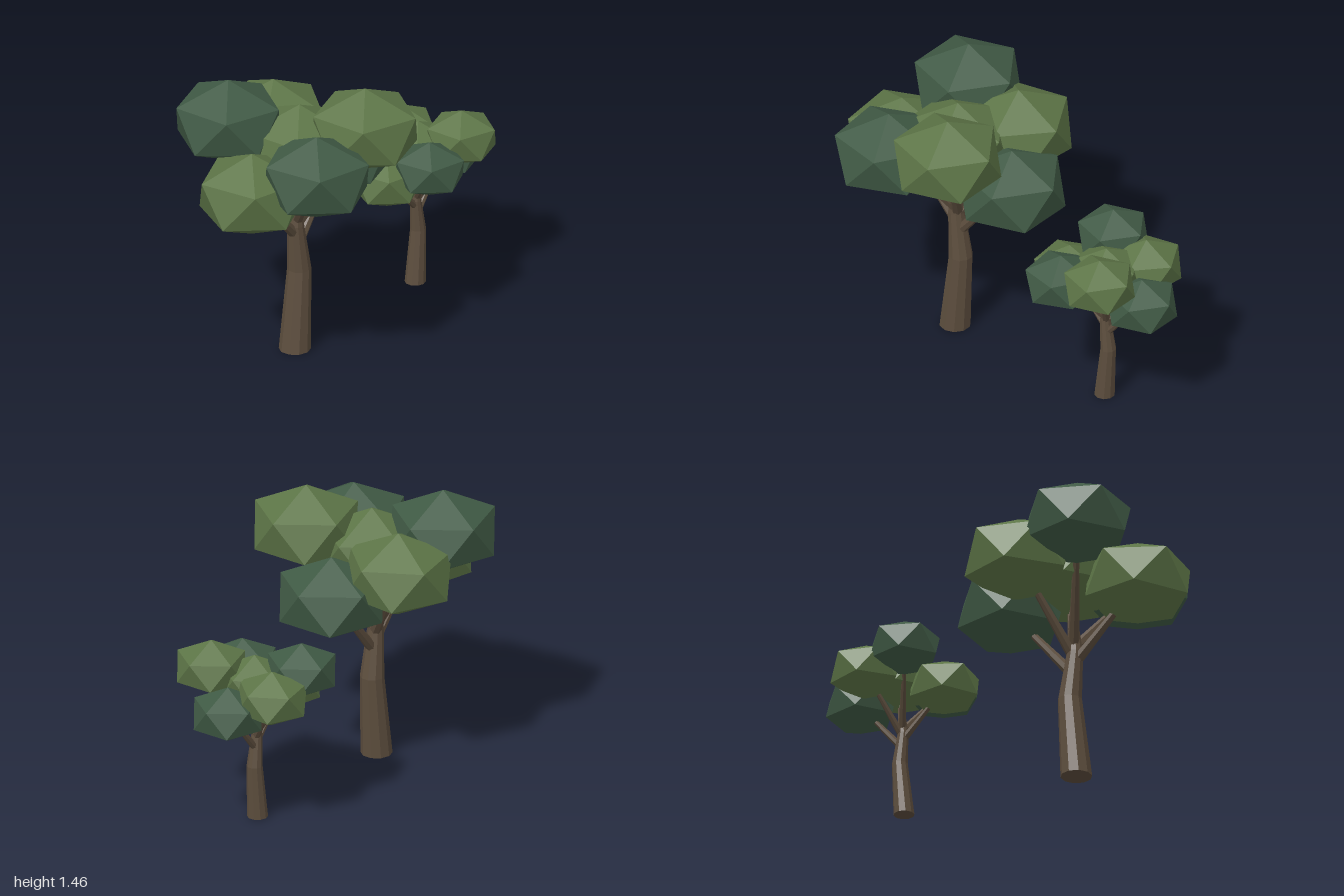
import * as THREE from 'three';

const flat = (name, color) => {
  const m = new THREE.MeshStandardMaterial({ color, flatShading: true });
  m.name = name;
  return m;
};

export function createModel() {
  const bark = flat('bark brown', 0x5c4d3d);
  const light = flat('light leaf green', 0x5d7547);
  const dark = flat('dark leaf green', 0x405a45);

  const add = (parent, name, geometry, material) => {
    const mesh = new THREE.Mesh(geometry, material);
    mesh.name = name;
    parent.add(mesh);
    return mesh;
  };

  // Bent, tapering trunk: each ring of a cylinder is moved to [x, y, radius]
  const rings = [[0, 0, 0.08], [0.036, 0.43, 0.061], [0.008, 0.68, 0.042], [0.015, 0.8, 0.03]];
  const trunkGeo = new THREE.CylinderGeometry(1, 1, rings.length - 1, 10, rings.length - 1);
  const pos = trunkGeo.attributes.position;
  for (let i = 0; i < pos.count; i++) {
    const [x, y, r] = rings[Math.round(pos.getY(i) + (rings.length - 1) / 2)];
    pos.setXYZ(i, x + pos.getX(i) * r, y, pos.getZ(i) * r);
  }
  trunkGeo.computeVertexNormals();

  // Leaf clump: icosahedron standing on a corner, squashed in height
  const clumpGeo = new THREE.IcosahedronGeometry(1, 0);
  clumpGeo.rotateX(-Math.atan2((1 + Math.sqrt(5)) / 2, 1));
  clumpGeo.rotateY(Math.PI / 2);
  clumpGeo.scale(0.3, 0.22, 0.3);

  // [name, material, centre, yaw, height on the trunk where its branch starts]
  const clumps = [
    ['backLeafClumpHigh', dark, [-0.16, 1.235, -0.295], 0, 0.7],
    ['frontLeafClumpHigh', light, [0.195, 1.228, 0.292], 0, 0.68],
    ['leftLeafClump', dark, [0.367, 0.975, 0], 0, 0.56],
    ['frontLeafClumpLow', dark, [-0.19, 1.105, 0.288], 0.1, 0.7],
    ['backLeafClumpLow', light, [0.18, 1.115, -0.277], -0.1, 0.66],
    ['rightLeafClump', light, [-0.345, 0.985, 0], 0.1, 0.62],
    ['centreLeafClump', light, [0.025, 1.12, 0.01], 0, 0.74],
  ];

  // Straight tapering branch between two points
  const up = new THREE.Vector3(0, 1, 0);
  const addBranch = (parent, from, to) => {
    const dir = to.clone().sub(from);
    const geo = new THREE.CylinderGeometry(0.014, 0.03, dir.length(), 7);
    const mesh = add(parent, 'branch', geo, bark);
    mesh.position.copy(from).addScaledVector(dir, 0.5);
    mesh.quaternion.setFromUnitVectors(up, dir.normalize());
  };

  const makeTree = (name, x, scale) => {
    const tree = new THREE.Group();
    tree.name = name;
    add(tree, 'trunk', trunkGeo, bark);
    for (const [clumpName, material, centre, yaw, start] of clumps) {
      const clump = add(tree, clumpName, clumpGeo, material);
      clump.position.set(...centre);
      clump.rotation.y = yaw;
      const from = new THREE.Vector3(0.015, start, 0);
      addBranch(tree, from, from.clone().lerp(clump.position, 0.85));
    }
    tree.position.x = x;
    tree.scale.setScalar(scale);
    return tree;
  };

  const model = new THREE.Group();
  model.name = 'twoTrees';
  model.add(makeTree('largeTree', -0.385, 1), makeTree('smallTree', 0.583, 0.658));
  return model;
}
